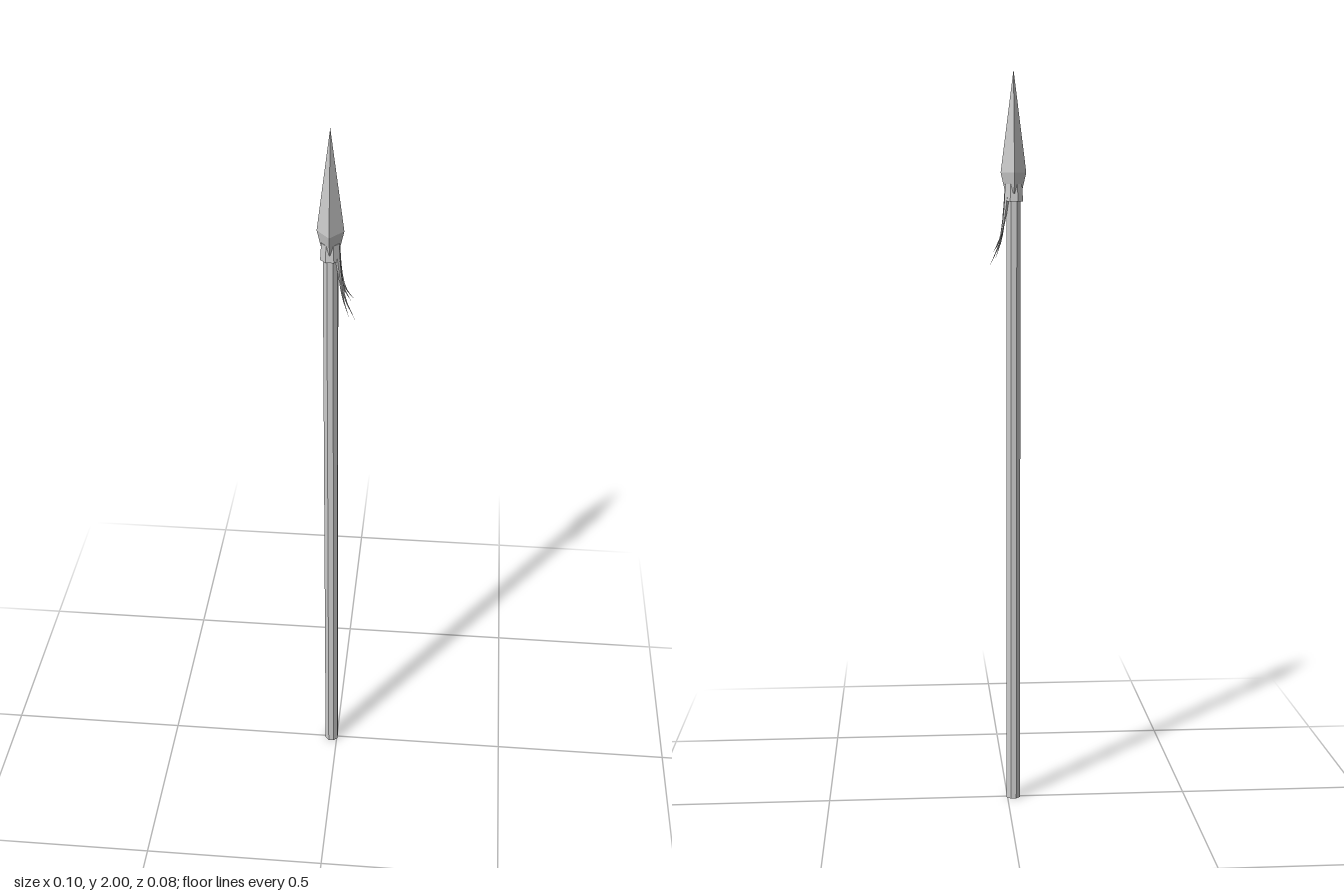
import * as THREE from 'three';

const AXIS_X = -0.016;

export function createModel() {
  const model = new THREE.Group();
  const material = new THREE.MeshStandardMaterial({ color: 0xcccccc, flatShading: true });
  const thin = new THREE.MeshStandardMaterial({ color: 0xcccccc, flatShading: true, side: THREE.DoubleSide });

  function add(name, geometry, y, mat = material) {
    const mesh = new THREE.Mesh(geometry, mat);
    mesh.name = name;
    mesh.position.set(AXIS_X, y, 0);
    model.add(mesh);
    return mesh;
  }

  // Eight-sided shaft with flats facing front and sides
  const shaft = new THREE.CylinderGeometry(0.02, 0.02, 1.68, 8);
  add('shaft', shaft.rotateY(Math.PI / 8), 0.84);

  // Socket that joins the head to the shaft
  const socket = new THREE.CylinderGeometry(0.024, 0.027, 0.045, 8);
  add('socket', socket.rotateY(Math.PI / 8), 1.6825);

  // Four-sided diamond head, wider in z than in x
  const profile = [[0, 1.68], [0.62, 1.68], [1, 1.735], [0, 2]].map(([r, y]) => new THREE.Vector2(r, y));
  add('spearHead', new THREE.LatheGeometry(profile, 4).scale(0.034, 1, 0.0415), 0, thin);

  // Tapered strands that hang from the socket and flick outwards
  const strands = new THREE.Group();
  strands.name = 'tassel';
  model.add(strands);
  const tips = [[0.041, 1.525, -0.041], [0.035, 1.53, -0.021], [0.047, 1.49, 0.004], [0.032, 1.505, 0.018]];
  const steps = 7, sides = 4;
  tips.forEach(([x, y, z], i) => {
    const rootZ = -0.012 + i * 0.008;
    const curve = new THREE.CatmullRomCurve3([
      new THREE.Vector3(0.002, 1.67, rootZ),
      new THREE.Vector3(0.008, 1.62, rootZ * 1.05),
      new THREE.Vector3(0.008 + (x - 0.008) * 0.35, 1.62 + (y - 1.62) * 0.55, rootZ + (z - rootZ) * 0.35),
      new THREE.Vector3(x, y, z),
    ]);
    const geometry = new THREE.TubeGeometry(curve, steps, 0.006, sides);
    const pos = geometry.attributes.position;
    const v = new THREE.Vector3();
    for (let k = 0; k < pos.count; k++) {
      const t = Math.floor(k / (sides + 1)) / steps;
      const centre = curve.getPointAt(t);
      v.fromBufferAttribute(pos, k).sub(centre).multiplyScalar(1 - t).add(centre);
      pos.setXYZ(k, v.x, v.y, v.z);
    }
    geometry.computeVertexNormals();
    const strand = new THREE.Mesh(geometry, thin);
    strand.name = 'tasselStrand' + (i + 1);
    strands.add(strand);
  });

  return model;
}
